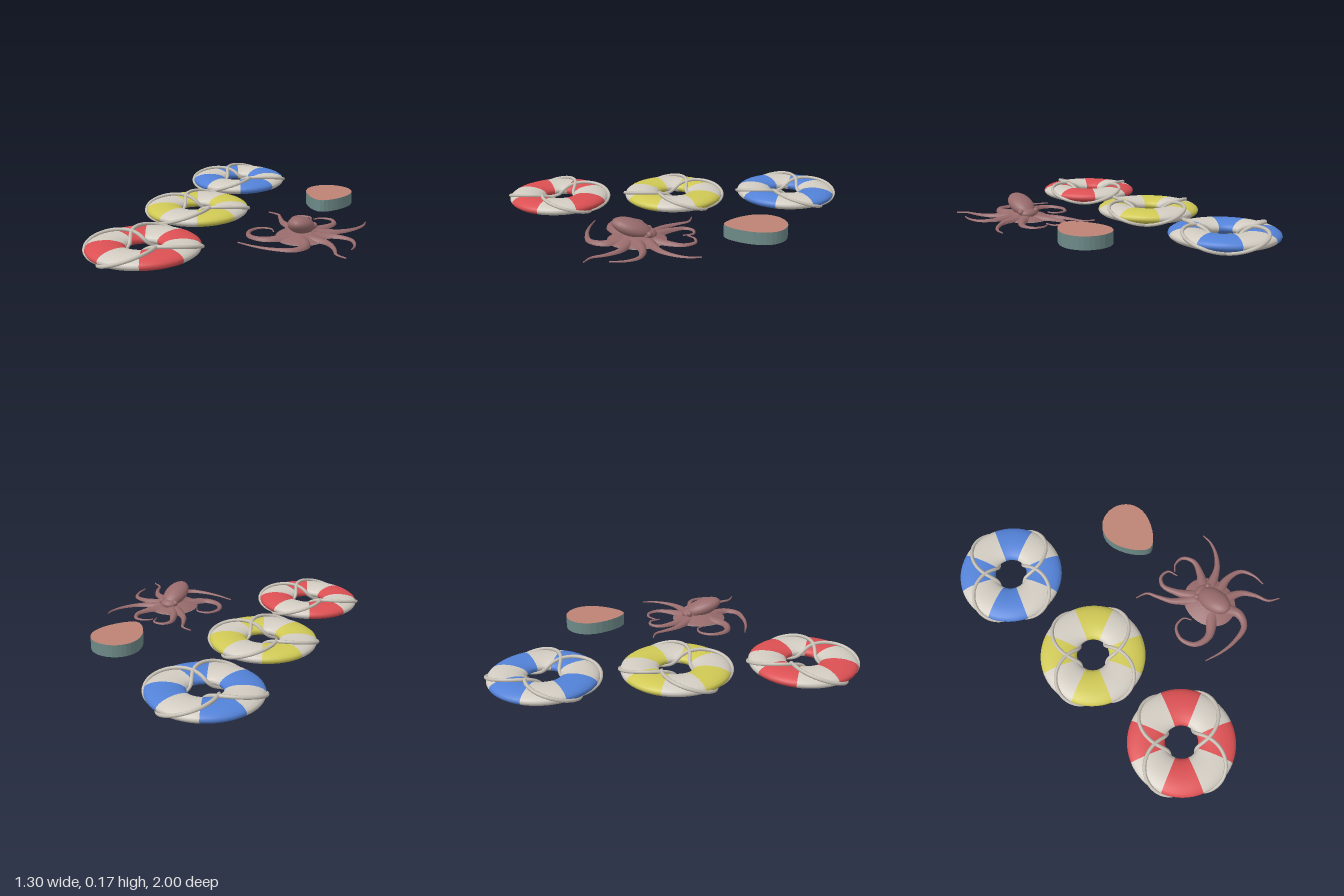
import * as THREE from 'three';

const paint = (name, color, side = THREE.FrontSide) => {
  const m = new THREE.MeshStandardMaterial({ color, side });
  m.name = name;
  return m;
};

function add(parent, name, geometry, material, pos = [0, 0, 0]) {
  const mesh = new THREE.Mesh(geometry, material);
  mesh.name = name;
  mesh.position.set(...pos);
  parent.add(mesh);
  return mesh;
}

// Surface through rows of points (all rows equally long)
function skinRows(rows) {
  const n = rows[0].length, index = [];
  for (let i = 0; i < rows.length - 1; i++)
    for (let j = 0; j < n - 1; j++) {
      const a = i * n + j, b = a + n;
      index.push(a, b, a + 1, b, b + 1, a + 1);
    }
  const g = new THREE.BufferGeometry().setFromPoints(rows.flat());
  g.setIndex(index);
  g.computeVertexNormals();
  return g;
}

const MID = 0.058; // height of the ring centres
const RING = 0.1925, TUBE = 0.1025;

// Rope that winds twice through the ring; dir sets its handedness
function ropeGeometry(dir, start) {
  const pts = [];
  for (let i = 0; i < 48; i++) {
    const phi = (i / 48) * Math.PI * 2;
    const theta = 2 * dir * (phi - start);
    const r = RING + 0.105 * Math.cos(theta);
    pts.push(new THREE.Vector3(r * Math.cos(phi), 0.047 * Math.sin(theta), -r * Math.sin(phi)));
  }
  return new THREE.TubeGeometry(new THREE.CatmullRomCurve3(pts, true), 128, 0.01, 8, true);
}

function lifeRing(name, z, colour, white, ropeMat) {
  const ring = new THREE.Group();
  ring.name = name;
  ring.position.set(-0.354, MID, z);
  // Eight sectors, coloured on the diagonals
  for (let i = 0; i < 8; i++) {
    const g = new THREE.TorusGeometry(RING, TUBE, 20, 8, Math.PI / 4);
    g.scale(1, 1, 0.039 / TUBE);
    g.rotateZ((i - 0.5) * Math.PI / 4);
    g.rotateX(-Math.PI / 2);
    add(ring, i % 2 ? 'colouredSector' : 'whiteSector', g, i % 2 ? colour : white);
  }
  const deg = Math.PI / 180;
  add(ring, 'rope', ropeGeometry(1, 83 * deg), ropeMat);
  add(ring, 'crossingRope', ropeGeometry(-1, 200 * deg), ropeMat);
  return ring;
}

// Tapered arm: rounded skin above, flat sucker side below
function arm(parent, path, skin, under) {
  const curve = new THREE.CatmullRomCurve3(path.map(([x, z]) => new THREE.Vector3(x, 0, z)));
  const up = new THREE.Vector3(0, 1, 0), top = [], bottom = [];
  for (let i = 0; i <= 32; i++) {
    const t = i / 32;
    const p = curve.getPointAt(t);
    const side = curve.getTangentAt(t).cross(up).normalize();
    const w = 0.003 + 0.021 * (1 - t) + 0.022 * (1 - t) ** 5;
    const h = 0.006 + 0.024 * (1 - t) ** 1.5;
    const at = (s, y) => p.clone().addScaledVector(side, s * w).setY(0.046 + 0.006 * t + y);
    const row = [];
    for (let j = 0; j <= 6; j++) {
      const a = (j / 6) * Math.PI;
      row.push(at(Math.cos(a), h * Math.sin(a)));
    }
    top.push(row);
    bottom.push([at(-1, 0), at(0, -0.004 * (1 - t)), at(1, 0)]);
  }
  add(parent, 'armTop', skinRows(top), skin);
  add(parent, 'armUnderside', skinRows(bottom), under);
}

function octopus(skin, under, pale) {
  const g = new THREE.Group();
  g.name = 'octopus';
  const arms = [
    [[0.31, 0.18], [0.2, 0.09], [0.155, 0.01], [0.125, -0.05], [0.06, -0.075]],
    [[0.32, 0.17], [0.25, 0.06], [0.225, -0.02], [0.255, -0.065], [0.31, -0.06], [0.328, -0.005]],
    [[0.37, 0.17], [0.44, 0.07], [0.462, 0], [0.43, -0.06], [0.37, -0.062], [0.335, -0.03]],
    [[0.39, 0.19], [0.53, 0.125], [0.595, 0.05], [0.622, -0.02], [0.622, -0.075]],
    [[0.4, 0.24], [0.53, 0.215], [0.612, 0.24], [0.645, 0.31], [0.645, 0.385]],
    [[0.39, 0.28], [0.51, 0.33], [0.56, 0.4], [0.59, 0.475], [0.645, 0.51]],
    [[0.36, 0.31], [0.41, 0.41], [0.375, 0.483], [0.27, 0.505], [0.165, 0.495], [0.07, 0.468]],
    [[0.31, 0.29], [0.19, 0.38], [0.1, 0.36], [0.065, 0.28], [0.1, 0.21], [0.165, 0.205], [0.19, 0.245]],
  ];
  arms.forEach((path) => arm(g, path, skin, under));

  // Web between the arms
  const profile = [[0.138, 0.047], [0.125, 0.056], [0.09, 0.066], [0.05, 0.083], [0, 0.09]];
  const web = add(g, 'web', new THREE.LatheGeometry(profile.map(([x, y]) => new THREE.Vector2(x, y)), 32), skin, [0.345, 0, 0.24]);
  web.scale.z = 1.15;
  const base = new THREE.CircleGeometry(0.138, 32);
  base.rotateX(Math.PI / 2);
  const webUnder = add(g, 'webUnderside', base, under, [0.345, 0.044, 0.24]);
  webUnder.scale.z = 1.15;
  const mouth = add(g, 'mouth', new THREE.SphereGeometry(0.02, 12, 8), pale, [0.345, 0.043, 0.24]);
  mouth.scale.y = 0.3;

  // Tilted mantle, head and eyes
  const mantle = add(g, 'mantle', new THREE.SphereGeometry(1, 24, 16), skin, [0.348, 0.115, 0.265]);
  mantle.scale.set(0.068, 0.046, 0.112);
  mantle.rotation.x = -0.33;
  const head = add(g, 'head', new THREE.SphereGeometry(1, 20, 12), skin, [0.348, 0.078, 0.185]);
  head.scale.set(0.055, 0.03, 0.05);
  for (const s of [-1, 1])
    add(g, 'eye', new THREE.SphereGeometry(0.017, 12, 8), skin, [0.348 + s * 0.046, 0.09, 0.175]);
  return g;
}

// Drop-shaped board, round at the back and narrow in front
function floatBoard(face, edge) {
  const s = new THREE.Shape();
  s.moveTo(0, -0.222);
  s.bezierCurveTo(0.05, -0.222, 0.137, -0.345, 0.137, -0.43);
  s.bezierCurveTo(0.137, -0.508, 0.078, -0.566, 0, -0.566);
  s.bezierCurveTo(-0.078, -0.566, -0.137, -0.508, -0.137, -0.43);
  s.bezierCurveTo(-0.137, -0.345, -0.05, -0.222, 0, -0.222);
  const g = new THREE.ExtrudeGeometry(s, { depth: 0.07, bevelEnabled: false, curveSegments: 8 });
  g.rotateX(Math.PI / 2);
  const board = new THREE.Group();
  board.name = 'floatBoard';
  add(board, 'board', g, [face, edge], [0.325, 0.11, 0]);
  return board;
}

export function createModel() {
  const white = paint('white', 0xd2ccc2);
  const rope = paint('rope', 0xc6c0b5);
  const red = paint('red', 0xdc5053);
  const yellow = paint('yellow', 0xd0c955);
  const blue = paint('blue', 0x5382d8);
  const skin = paint('octopusSkin', 0x986b6c, THREE.DoubleSide);
  const under = paint('octopusUnderside', 0x8d8b85, THREE.DoubleSide);
  const pale = paint('mouthPale', 0xaaa69f);
  const salmon = paint('salmon', 0xbd8375);
  const teal = paint('teal', 0x6d8a88);

  const model = new THREE.Group();
  model.name = 'poolToys';
  model.add(
    lifeRing('redRing', 0.692, red, white, rope),
    lifeRing('yellowRing', 0, yellow, white, rope),
    lifeRing('blueRing', -0.692, blue, white, rope),
    octopus(skin, under, pale),
    floatBoard(salmon, teal),
  );
  return model;
}
